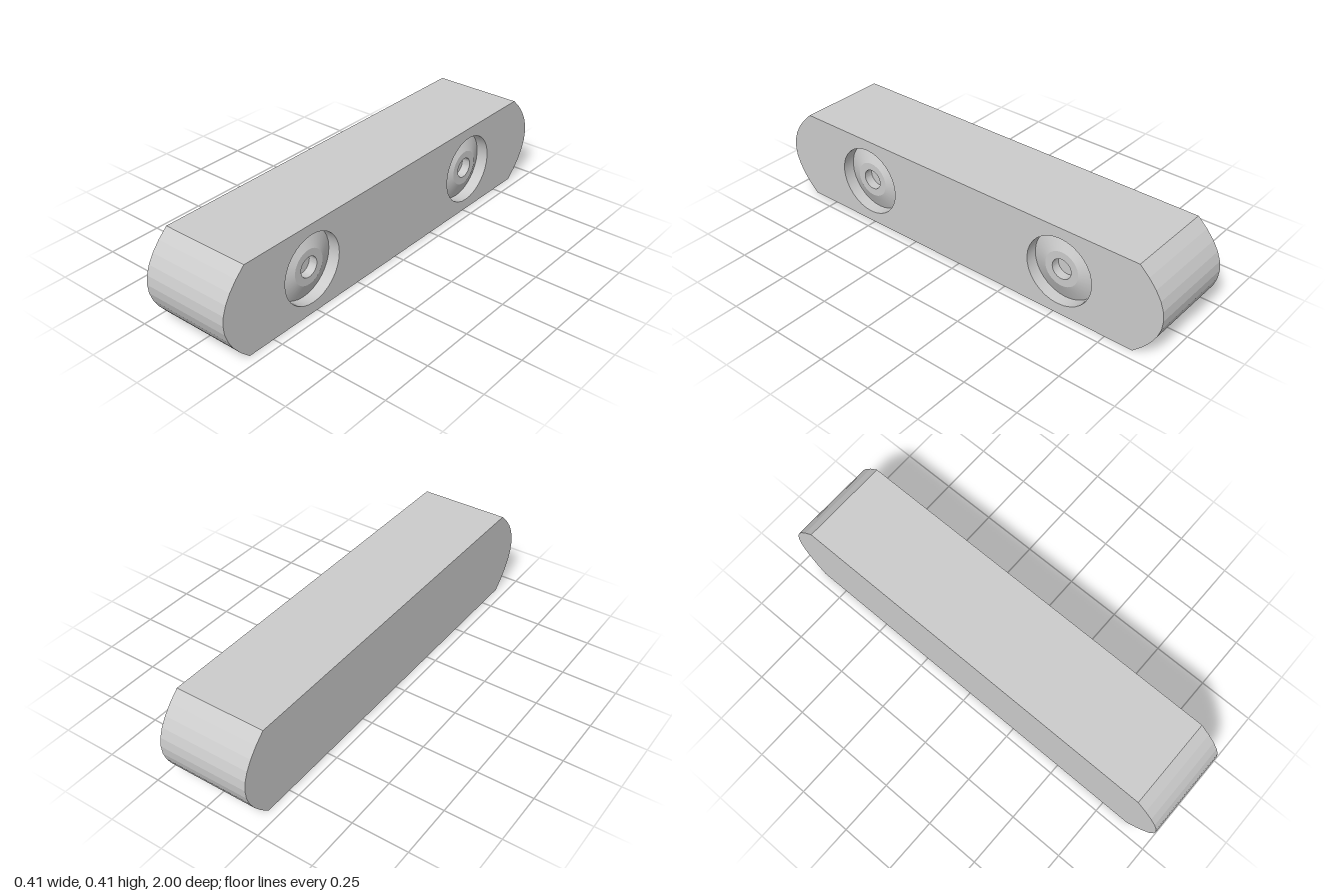
import * as THREE from 'three';
import { toCreasedNormals } from 'three/addons/utils/BufferGeometryUtils.js';

const HALF = 0.205;   // half of the square section
const STRAIGHT = 0.88; // where the straight part ends and the bowed end begins
const END_STEPS = 10;
const POCKET_Z = 0.52;
const POCKET_R = 0.157;
const POCKET_SIDES = 32;

// Side outline, counter-clockwise, with a parabolic bow at each end
function outlinePoints() {
  const pts = [];
  for (const side of [1, -1]) {
    for (let i = 0; i <= END_STEPS; i++) {
      const t = (i / END_STEPS) * 2 - 1;
      pts.push(new THREE.Vector2(side * (1 - (1 - STRAIGHT) * t * t), side * t * HALF));
    }
  }
  return pts;
}

function circlePoints(cx, r) {
  return Array.from({ length: POCKET_SIDES }, (_, i) => {
    const a = (i / POCKET_SIDES) * Math.PI * 2;
    return new THREE.Vector2(cx + r * Math.sin(a), r * Math.cos(a));
  });
}

// Band of quads that joins the two side faces around the outline
function rimGeometry(pts) {
  const pos = [];
  pts.forEach((a, i) => {
    const b = pts[(i + 1) % pts.length];
    pos.push(a.x, a.y, -HALF, b.x, b.y, -HALF, b.x, b.y, HALF);
    pos.push(a.x, a.y, -HALF, b.x, b.y, HALF, a.x, a.y, HALF);
  });
  const geo = new THREE.BufferGeometry();
  geo.setAttribute('position', new THREE.Float32BufferAttribute(pos, 3));
  geo.computeVertexNormals();
  return geo;
}

export function createModel() {
  const group = new THREE.Group();
  const grey = new THREE.MeshStandardMaterial({ color: 0xcccccc });
  const greyFlat = new THREE.MeshStandardMaterial({ color: 0xcccccc, flatShading: true });
  const greyDouble = new THREE.MeshStandardMaterial({ color: 0xcccccc, side: THREE.DoubleSide });

  const add = (name, geo, material) => {
    const mesh = new THREE.Mesh(geo, material);
    mesh.name = name;
    mesh.position.y = HALF;
    group.add(mesh);
    return mesh;
  };

  // Bar: rim, plain left-hand cap, and cap with two round openings
  const pts = outlinePoints();
  add('barRim', rimGeometry(pts).rotateY(Math.PI / 2), greyFlat);

  const plain = new THREE.ShapeGeometry(new THREE.Shape(pts));
  add('plainFace', plain.rotateY(-Math.PI / 2).translate(-HALF, 0, 0), grey);

  const pierced = new THREE.Shape(pts);
  for (const s of [1, -1]) pierced.holes.push(new THREE.Path(circlePoints(s * POCKET_Z, POCKET_R)));
  add('pocketFace', new THREE.ShapeGeometry(pierced).rotateY(Math.PI / 2).translate(HALF, 0, 0), grey);

  // Pocket: straight wall, raised cone with a flat top, small blind hole
  const profile = [
    [POCKET_R, 0], [POCKET_R, -0.055], [0.08, -0.02],
    [0.046, -0.02], [0.046, -0.06], [0, -0.06],
  ].map(([r, y]) => new THREE.Vector2(r, y));
  const pocket = toCreasedNormals(new THREE.LatheGeometry(profile, POCKET_SIDES), 0.3);
  pocket.rotateZ(-Math.PI / 2);

  for (const [name, s] of [['frontPocket', 1], ['backPocket', -1]]) {
    const mesh = add(name, pocket, greyDouble);
    mesh.position.x = HALF;
    mesh.position.z = s * POCKET_Z;
  }
  return group;
}
